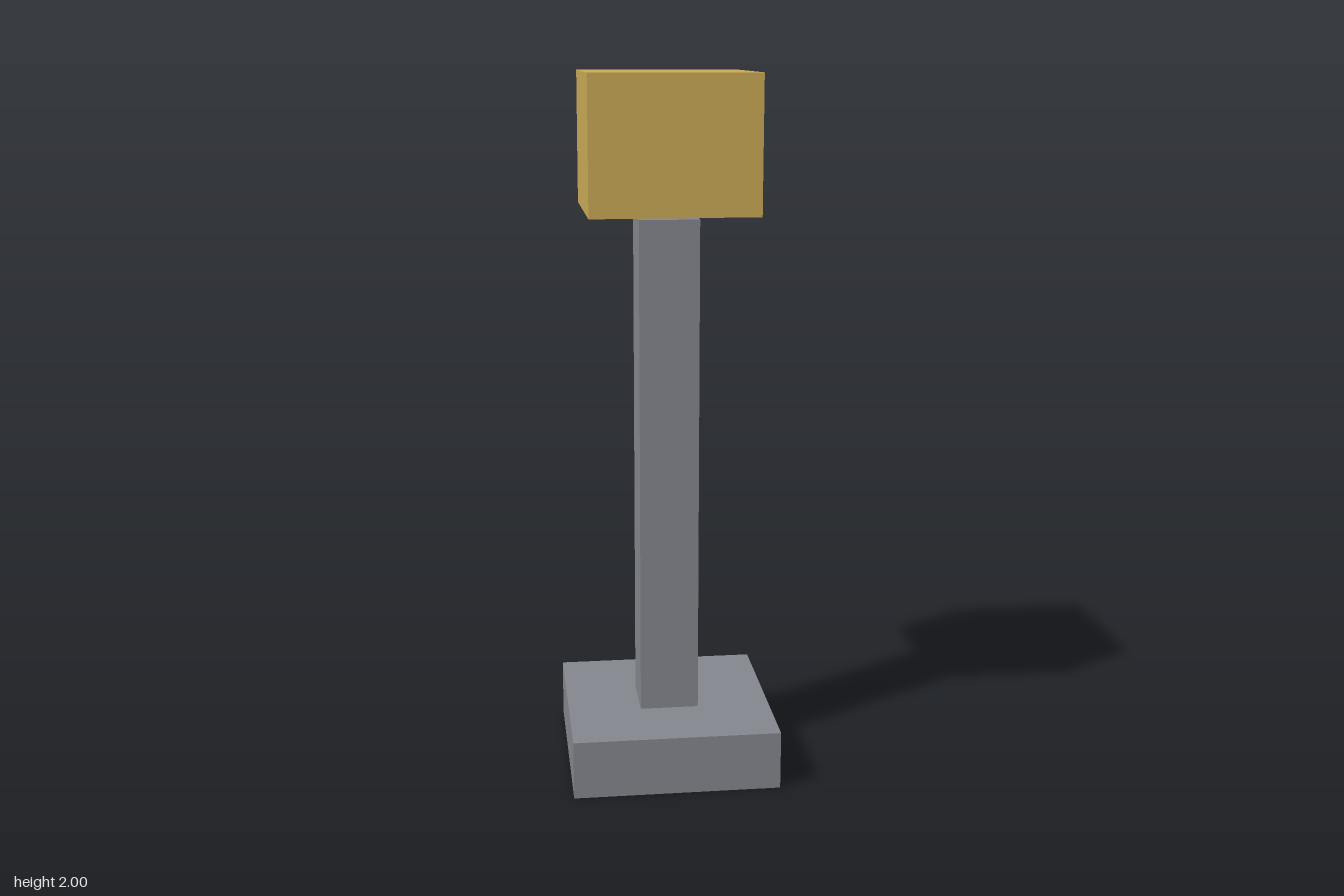
import * as THREE from 'three';

export function createModel() {
  const stone = new THREE.MeshStandardMaterial({ color: 0x83868d });
  stone.name = 'grey stone';
  const gold = new THREE.MeshStandardMaterial({ color: 0xc9a956 });
  gold.name = 'warm gold';

  const model = new THREE.Group();
  model.name = 'lampPost';

  // Square block spanning bottom to top, centred on the y axis
  const addBlock = (name, width, bottom, top, material) => {
    const mesh = new THREE.Mesh(new THREE.BoxGeometry(width, top - bottom, width), material);
    mesh.name = name;
    mesh.position.y = (bottom + top) / 2;
    model.add(mesh);
  };

  addBlock('base', 0.591, 0, 0.169, stone);
  addBlock('post', 0.169, 0.169, 1.605, stone);
  // The lamp head floats just above the post
  addBlock('lampHead', 0.463, 1.625, 2, gold);

  return model;
}
